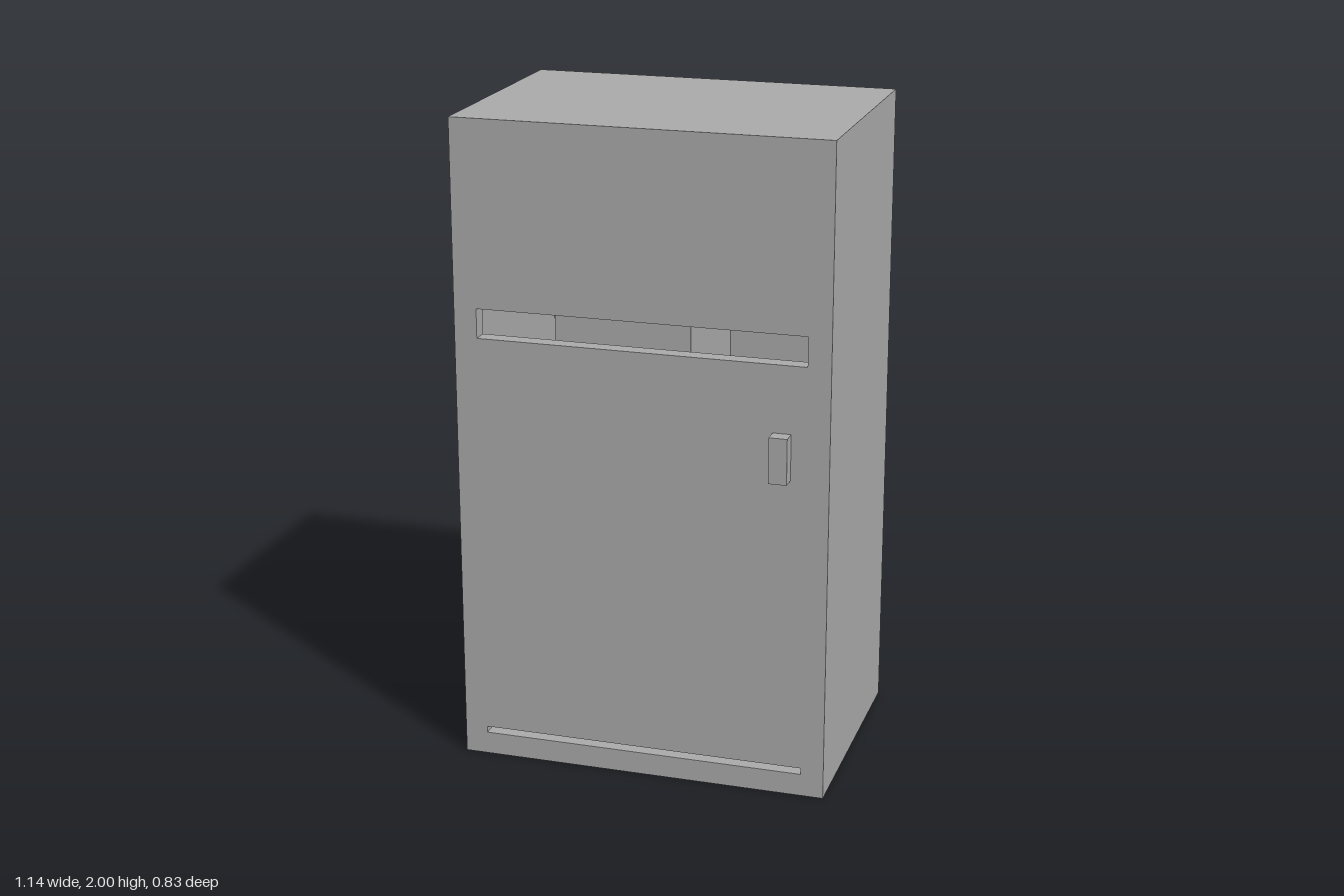
import * as THREE from 'three';

const W = 0.57, H = 2, BACK = -0.415, FRONT = 0.37, T = 0.05;

// Rectangle outline, used for panels and their openings
function rect(Type, x0, y0, x1, y1) {
  return new Type([[x0, y0], [x1, y0], [x1, y1], [x0, y1]].map(([x, y]) => new THREE.Vector2(x, y)));
}

// Flat panel with rectangular openings, from z0 to z1
function panel(name, material, z0, z1, openings) {
  const shape = rect(THREE.Shape, -W, 0, W, H);
  for (const o of openings) shape.holes.push(rect(THREE.Path, ...o));
  const geometry = new THREE.ExtrudeGeometry(shape, { depth: z1 - z0, bevelEnabled: false });
  const mesh = new THREE.Mesh(geometry, material);
  mesh.position.z = z0;
  mesh.name = name;
  return mesh;
}

// Box given by its limits on each axis
function block(name, material, x0, x1, y0, y1, z0, z1) {
  const mesh = new THREE.Mesh(new THREE.BoxGeometry(x1 - x0, y1 - y0, z1 - z0), material);
  mesh.position.set((x0 + x1) / 2, (y0 + y1) / 2, (z0 + z1) / 2);
  mesh.name = name;
  return mesh;
}

export function createModel() {
  const grey = new THREE.MeshStandardMaterial({ color: 0xaaaaaa });
  grey.name = 'grey';

  const model = new THREE.Group();
  model.name = 'cabinet';

  // Hollow casing: back panel, four walls and slotted front
  model.add(panel('backPanel', grey, BACK, BACK + T, []));
  model.add(panel('casingWalls', grey, BACK + T, FRONT - T, [[-W + T, T, W - T, H - T]]));
  model.add(panel('frontPanel', grey, FRONT - T, FRONT, [
    [-0.5, 1.345, 0.5, 1.435], // wide slot
    [-0.5, 0.07, 0.5, 0.09], // vent near the floor
  ]));

  // Unit inside, seen through the wide slot
  model.add(block('innerUnit', grey, -0.36, 0.07, 0.7, 1.38, BACK + T, 0.08));

  // Door handle
  model.add(block('handle', grey, 0.4, 0.455, 1.0, 1.14, FRONT, 0.415));

  return model;
}
